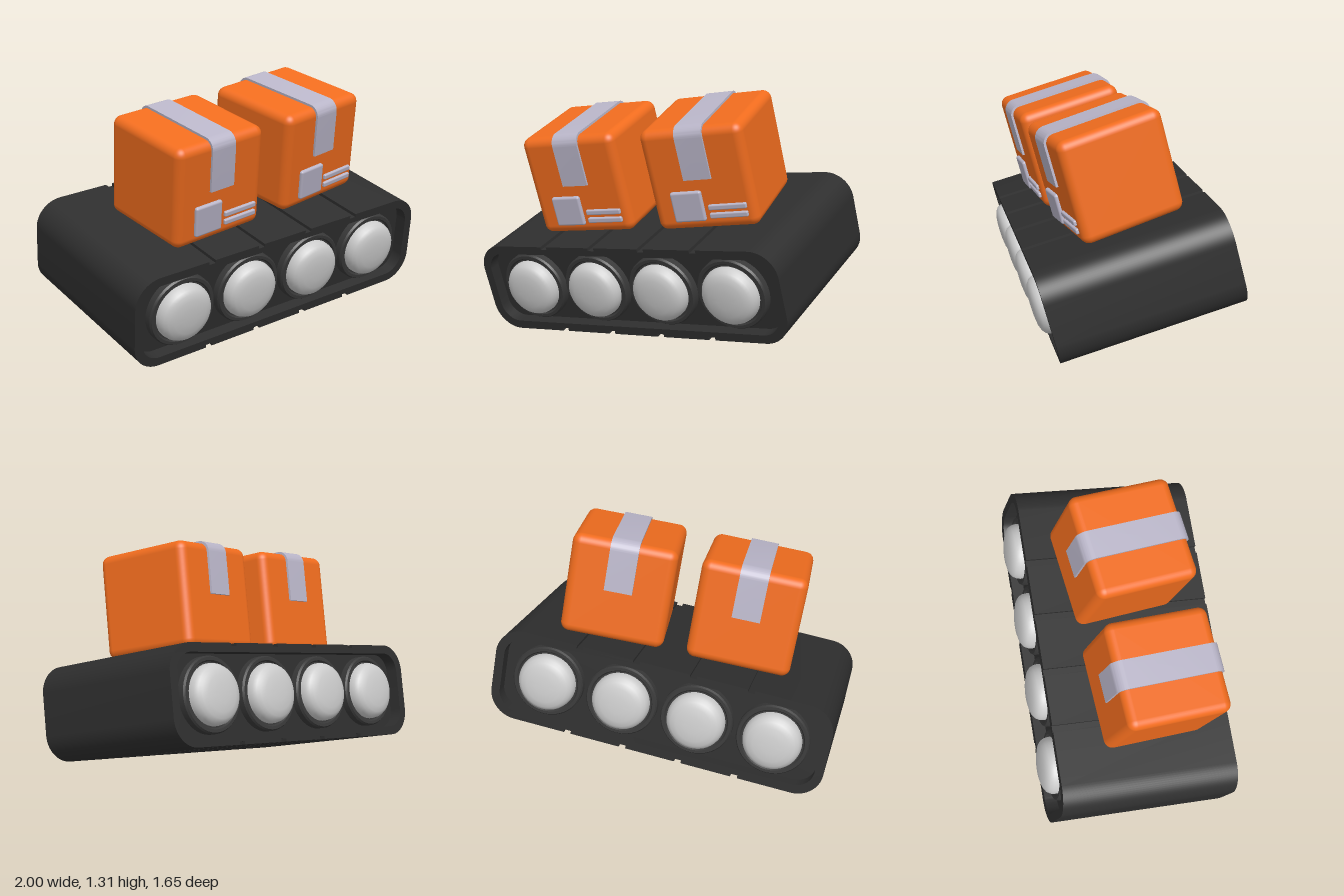
import * as THREE from 'three';
import { toCreasedNormals } from 'three/addons/utils/BufferGeometryUtils.js';
import { RoundedBoxGeometry } from 'three/addons/geometries/RoundedBoxGeometry.js';

const material = (color) => new THREE.MeshStandardMaterial({ color });
const dark = material(0x2e2e2e);
const darkRing = material(0x383838);
const orange = material(0xf06c1e);
const tapeGrey = material(0xb9b5c8);
const grey = material(0xcccccc);

function addMesh(parent, name, geometry, mat, x = 0, y = 0, z = 0) {
  const mesh = new THREE.Mesh(geometry, mat);
  mesh.name = name;
  mesh.position.set(x, y, z);
  parent.add(mesh);
  return mesh;
}

// Rounded rectangle outline; grooves cut small notches in its top and bottom
function roundedRect(path, w, h, r, grooves = []) {
  const a = w / 2, b = h / 2, g = 0.018, d = 0.016;
  const notch = (x, y, dir) => {
    const inner = y - Math.sign(y) * d;
    path.lineTo(x - dir * g, y).lineTo(x - dir * g, inner);
    path.lineTo(x + dir * g, inner).lineTo(x + dir * g, y);
  };
  path.moveTo(-a + r, -b);
  grooves.forEach((x) => notch(x, -b, 1));
  path.lineTo(a - r, -b).absarc(a - r, -b + r, r, -Math.PI / 2, 0);
  path.lineTo(a, b - r).absarc(a - r, b - r, r, 0, Math.PI / 2);
  [...grooves].reverse().forEach((x) => notch(x, b, -1));
  path.lineTo(-a + r, b).absarc(-a + r, b - r, r, Math.PI / 2, Math.PI);
  path.lineTo(-a, -b + r).absarc(-a + r, -b + r, r, Math.PI, Math.PI * 1.5);
  return path;
}

function extrudeCentred(shape, depth) {
  const geo = new THREE.ExtrudeGeometry(shape, { depth, bevelEnabled: false, curveSegments: 10 });
  geo.translate(0, 0, -depth / 2);
  return toCreasedNormals(geo, 0.5);
}

// Lathe along z, mirrored about the middle; points are [radius, z] from the middle outwards
function spindle(points, crease) {
  const half = points.map(([r, z]) => new THREE.Vector2(r, z));
  const other = points.map(([r, z]) => new THREE.Vector2(r, -z)).reverse();
  const geo = new THREE.LatheGeometry([...other, ...half], 40);
  geo.rotateX(Math.PI / 2);
  return toCreasedNormals(geo, crease);
}

function createConveyor() {
  const conveyor = new THREE.Group();
  conveyor.name = 'conveyor';
  const length = 1.76, height = 0.49, width = 0.95, wall = 0.045;

  // Belt loop with cross grooves
  const belt = roundedRect(new THREE.Shape(), length, height, 0.14, [-0.445, -0.148, 0.148, 0.445]);
  belt.holes.push(roundedRect(new THREE.Path(), length - 2 * wall, height - 2 * wall, 0.1));
  addMesh(conveyor, 'belt', extrudeCentred(belt, width), dark);

  // Recessed side panels
  const core = roundedRect(new THREE.Shape(), length - 2 * wall, height - 2 * wall, 0.1);
  addMesh(conveyor, 'sidePanels', extrudeCentred(core, width - 0.13), dark);

  // Rollers with domed end caps
  const drum = spindle([[0.187, 0.3], [0.187, 0.445], [0.18, 0.455], [0.165, 0.455], [0.158, 0.445], [0, 0.445]], 0.5);
  const cap = spindle([[0.15, 0.3], [0.15, 0.455], [0.147, 0.475], [0.137, 0.494], [0.12, 0.507],
    [0.09, 0.517], [0.045, 0.522], [0, 0.523]], 0.9);
  for (let i = 0; i < 4; i++) {
    const x = (i - 1.5) * 0.396;
    addMesh(conveyor, 'rollerDrum', drum, darkRing, x);
    addMesh(conveyor, 'rollerCap', cap, grey, x);
  }
  return conveyor;
}

// U-shaped tape strip over the top of a box, hanging down front and back
function tapeGeometry(size, height, width, drop) {
  const s = new THREE.Shape();
  const t = 0.012, a = size / 2, top = height / 2, r = 0.045, low = top - drop;
  s.moveTo(a - t, low).lineTo(a + t, low).lineTo(a + t, top - r);
  s.absarc(a - r, top - r, r + t, 0, Math.PI / 2);
  s.lineTo(-a + r, top + t).absarc(-a + r, top - r, r + t, Math.PI / 2, Math.PI);
  s.lineTo(-a - t, low).lineTo(-a + t, low).lineTo(-a + t, top - r);
  s.absarc(-a + r, top - r, r - t, Math.PI, Math.PI / 2, true);
  s.lineTo(a - r, top - t).absarc(a - r, top - r, r - t, Math.PI / 2, 0, true);
  return extrudeCentred(s, width).rotateY(Math.PI / 2);
}

function createParcel() {
  const parcel = new THREE.Group();
  parcel.name = 'parcel';
  const size = 0.54, height = 0.53, front = size / 2;
  addMesh(parcel, 'carton', new RoundedBoxGeometry(size, height, size, 5, 0.045), orange);
  addMesh(parcel, 'tape', tapeGeometry(size, height, 0.145, 0.26), tapeGrey);
  // Blank label and two bars on the front
  addMesh(parcel, 'label', new RoundedBoxGeometry(0.165, 0.16, 0.036, 3, 0.012), tapeGrey, -0.08, -0.135, front);
  for (const y of [-0.19, -0.146]) {
    addMesh(parcel, 'labelBar', new RoundedBoxGeometry(0.2, 0.028, 0.03, 2, 0.007), tapeGrey, 0.125, y, front);
  }
  return parcel;
}

export function createModel() {
  const model = new THREE.Group();
  model.name = 'conveyorWithParcels';

  // Everything is built level, then tilted and turned as one
  const tilted = new THREE.Group();
  tilted.name = 'tiltedAssembly';
  tilted.rotation.set(THREE.MathUtils.degToRad(15), THREE.MathUtils.degToRad(26.4), 0);
  model.add(tilted);

  const conveyor = createConveyor();
  conveyor.position.set(0.052, 0.421, -0.104);
  tilted.add(conveyor);

  for (const [x, z, turn] of [[-0.246, -0.082, 4.5], [0.428, -0.14, 8]]) {
    const parcel = createParcel();
    parcel.position.set(x, 0.928, z);
    parcel.rotation.y = THREE.MathUtils.degToRad(turn);
    tilted.add(parcel);
  }
  return model;
}
